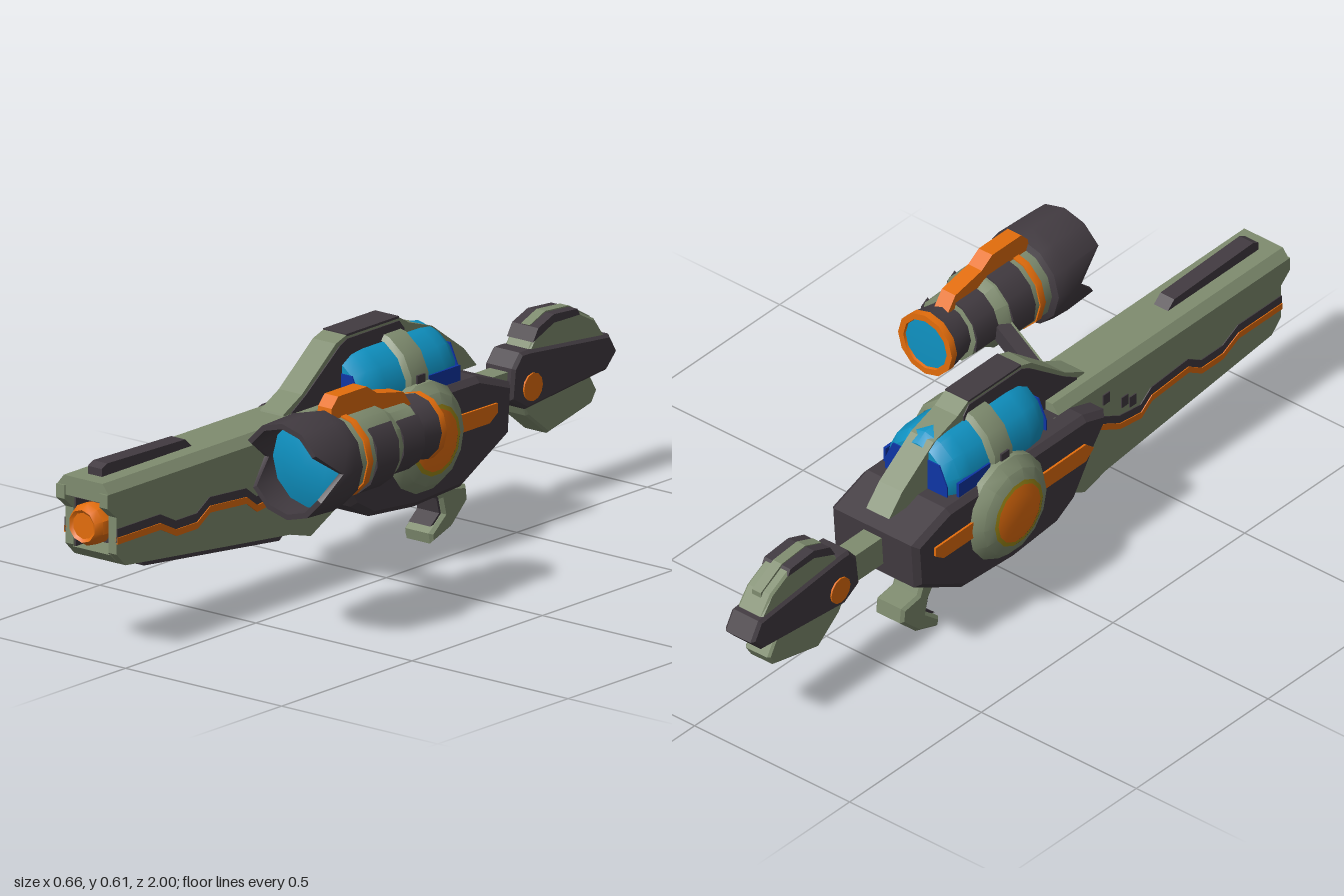
import * as THREE from 'three';
import { toCreasedNormals } from 'three/addons/utils/BufferGeometryUtils.js';

const mat = (name, color) => {
  const m = new THREE.MeshStandardMaterial({ color });
  m.name = name;
  return m;
};
const GREEN = mat('sage green', 0x7f8c6f);
const DARK = mat('charcoal', 0x423b41);
const ORANGE = mat('orange', 0xe36d0c);
const BLUE = mat('cyan blue', 0x0f92c2);
const NAVY = mat('deep blue', 0x0e35a5);
const OLIVE = mat('olive yellow', 0xa08c18);

const CX = -0.14; // centre plane of the main body

export function createModel() {
  const model = new THREE.Group();
  model.name = 'blaster';

  const add = (name, geo, material, x = 0, y = 0, z = 0) => {
    const mesh = new THREE.Mesh(geo, material);
    mesh.name = name;
    mesh.position.set(x, y, z);
    model.add(mesh);
    return mesh;
  };
  const box = (name, m, w, h, d, x, y, z) => add(name, new THREE.BoxGeometry(w, h, d), m, x, y, z);

  // Side profile of [z, y] points given a width along x
  const slab = (name, m, pts, width, x = CX, bevel = 0) => {
    const shape = new THREE.Shape(pts.map(([z, y]) => new THREE.Vector2(z, y)));
    const depth = width - 2 * bevel;
    const geo = new THREE.ExtrudeGeometry(shape, {
      depth, bevelEnabled: bevel > 0, bevelSize: bevel, bevelThickness: bevel, bevelOffset: -bevel, bevelSegments: 1,
    });
    geo.translate(0, 0, -depth / 2).rotateY(-Math.PI / 2);
    return add(name, geo, m, x);
  };

  // Turned profile of [radius, height] points, axis along y
  const turned = (pts, sides) =>
    new THREE.LatheGeometry(pts.map(([r, h]) => new THREE.Vector2(r, h)), sides);
  const turnedZ = (name, m, pts, x, y, sides = 12) =>
    add(name, toCreasedNormals(turned(pts, sides).rotateX(Math.PI / 2), 0.6), m, x, y);

  // Main body
  slab('body', DARK, [[0.24, 0.38], [0.2, 0.33], [0.12, 0.21], [0.05, 0.17], [-0.12, 0.155], [-0.3, 0.165],
    [-0.48, 0.26], [-0.49, 0.39], [-0.36, 0.435], [0.16, 0.435], [0.24, 0.41]], 0.28, CX, 0.015);
  for (const s of [-1, 1]) {
    slab('bodyStripe', ORANGE, [[0.18, 0.335], [0.15, 0.31], [-0.39, 0.31], [-0.42, 0.33], [-0.42, 0.355],
      [0.15, 0.36]], 0.008, CX + s * 0.142);
  }

  // Round hubs on both sides and underneath
  const hub = (name, rotate, x, y, z, k, reach) => {
    const layers = [
      ['Cover', GREEN, [[0.15, 0], [0.15, reach - 0.048], [0.125, reach - 0.02], [0.096, reach - 0.008]]],
      ['Ring', OLIVE, [[0.097, reach - 0.009], [0.084, reach - 0.006]]],
      ['Cap', ORANGE, [[0.085, reach - 0.007], [0.055, reach], [0, reach]]],
    ];
    for (const [part, m, pts] of layers) {
      const geo = turned(pts.map(([r, h]) => [r * k, h]), 14);
      rotate(geo);
      add(name + part, toCreasedNormals(geo, 0.5), m, x, y, z);
    }
  };
  hub('leftHub', (g) => g.rotateZ(-Math.PI / 2), CX, 0.33, -0.145, 0.95, 0.188);
  hub('rightHub', (g) => g.rotateZ(Math.PI / 2), CX, 0.33, -0.145, 0.95, 0.188);
  hub('bottomHub', (g) => g.rotateX(Math.PI), CX, 0.33, -0.145, 0.72, 0.185);

  // Glass canister with dark ends and a band round its middle
  turnedZ('glassCanister', BLUE, [[0, -0.32], [0.095, -0.32], [0.115, -0.29], [0.12, -0.25], [0.12, -0.03],
    [0.115, 0.015], [0.095, 0.05], [0, 0.05]], CX, 0.455, 14);
  for (const [z, turn] of [[0.051, 0], [-0.321, Math.PI]]) {
    const end = new THREE.Shape([[-0.1, -0.02], [0.1, -0.02], [0.1, 0.01], [0.075, 0.065], [-0.075, 0.065],
      [-0.1, 0.01]].map((p) => new THREE.Vector2(...p)));
    add('canisterEnd', new THREE.ExtrudeGeometry(end, { depth: 0.004, bevelEnabled: false }), NAVY, CX, 0.455, z)
      .rotation.y = turn;
  }
  for (const s of [-1, 1]) box('canisterFoot', NAVY, 0.008, 0.04, 0.12, CX + s * 0.118, 0.455, -0.245);
  turnedZ('canisterBand', GREEN, [[0.118, -0.185], [0.132, -0.175], [0.132, -0.11], [0.118, -0.1]], CX, 0.46, 14);
  for (const s of [-1, 1]) box('bandInset', DARK, 0.008, 0.05, 0.03, CX + s * 0.13, 0.465, -0.142);

  // Rail arching over the canister
  slab('topRail', GREEN, [[0.28, 0.44], [0.27, 0.465], [0.2, 0.5], [0.07, 0.6], [0.03, 0.613], [-0.17, 0.613],
    [-0.21, 0.59], [-0.3, 0.56], [-0.42, 0.475], [-0.47, 0.42], [0.2, 0.42]], 0.074);
  slab('railSides', DARK, [[0.24, 0.43], [0.24, 0.465], [0.19, 0.495], [0.06, 0.59], [0.03, 0.604],
    [-0.17, 0.604], [-0.19, 0.58], [-0.19, 0.43]], 0.08);
  box('railTop', DARK, 0.076, 0.006, 0.2, CX, 0.613, -0.07);

  // Barrel: two side walls, roof and underside around an open muzzle
  for (const s of [-1, 1]) {
    slab('barrelWall', GREEN, [[1, 0.435], [1, 0.4], [0.965, 0.37], [0.965, 0.275], [0.93, 0.24], [0.3, 0.172],
      [0.22, 0.15], [0.12, 0.2], [0.1, 0.435]], 0.026, CX + s * 0.069);
  }
  const roof = new THREE.Shape([[-0.082, -0.025], [0.082, -0.025], [0.082, 0], [0.062, 0.025], [-0.062, 0.025],
    [-0.082, 0]].map((p) => new THREE.Vector2(...p)));
  add('barrelRoof', new THREE.ExtrudeGeometry(roof, { depth: 0.875, bevelEnabled: false }), GREEN, CX, 0.435, 0.12);
  slab('barrelFloor', GREEN, [[0.965, 0.27], [0.93, 0.24], [0.3, 0.172], [0.22, 0.15], [0.12, 0.2], [0.12, 0.27]], 0.12);
  slab('barrelKeel', DARK, [[0.86, 0.25], [0.84, 0.215], [0.32, 0.158], [0.28, 0.19]], 0.13);
  box('muzzleBack', DARK, 0.12, 0.16, 0.5, CX, 0.34, 0.64);
  for (const s of [-1, 1]) box('muzzleLining', DARK, 0.006, 0.14, 0.07, CX + s * 0.055, 0.34, 0.925);
  box('muzzleCeiling', DARK, 0.11, 0.006, 0.1, CX, 0.408, 0.935);
  turnedZ('muzzle', ORANGE, [[0.04, 0.88], [0.04, 0.93], [0.054, 0.945], [0.054, 0.98], [0.042, 1], [0.034, 0.994],
    [0, 0.994]], CX, 0.34, 10);
  slab('barrelTopStrip', DARK, [[0.95, 0.455], [0.95, 0.48], [0.93, 0.49], [0.63, 0.482], [0.6, 0.455]], 0.045);

  // Zigzag seam along the barrel: dark band with an orange line in it
  const seam = [[0.965, 0.315], [0.8, 0.315], [0.74, 0.285], [0.66, 0.285], [0.61, 0.315], [0.47, 0.305],
    [0.43, 0.275], [0.35, 0.285], [0.27, 0.325], [0.18, 0.335]];
  const ribbon = (up, down) => [...seam.map(([z, y]) => [z, y + up]), ...seam.map(([z, y]) => [z, y - down]).reverse()];
  for (const s of [-1, 1]) {
    slab('seamBand', DARK, ribbon(0.026, 0.01), 0.005, CX + s * 0.082);
    slab('seamLine', ORANGE, ribbon(0.004, 0.013), 0.008, CX + s * 0.083);
    for (const [z, y] of [[0.37, 0.345], [0.4, 0.33], [0.3, 0.39]]) {
      box('barrelVent', DARK, 0.006, 0.03, 0.025, CX + s * 0.082, y, z);
    }
  }

  // Stock
  box('stockRod', GREEN, 0.058, 0.08, 0.16, CX, 0.33, -0.54);
  slab('stock', DARK, [[-0.6, 0.38], [-0.59, 0.3], [-0.65, 0.265], [-0.96, 0.295], [-1, 0.335], [-0.97, 0.385],
    [-0.66, 0.415], [-0.63, 0.415]], 0.095, CX, 0.008);
  slab('stockUpperFin', GREEN, [[-0.66, 0.4], [-0.7, 0.455], [-0.76, 0.478], [-0.85, 0.472], [-0.92, 0.435],
    [-0.96, 0.38]], 0.08, CX, 0.006);
  slab('stockFinTop', DARK, [[-0.68, 0.43], [-0.7, 0.462], [-0.76, 0.484], [-0.85, 0.477], [-0.86, 0.46],
    [-0.76, 0.462]], 0.084);
  slab('stockFinStripe', GREEN, [[-0.7, 0.464], [-0.76, 0.487], [-0.85, 0.48], [-0.93, 0.435], [-0.93, 0.42],
    [-0.72, 0.45]], 0.028);
  slab('stockLowerFin', GREEN, [[-0.64, 0.28], [-0.66, 0.245], [-0.74, 0.182], [-0.91, 0.22], [-0.93, 0.25],
    [-0.9, 0.3]], 0.08, CX, 0.006);
  const pin = new THREE.CylinderGeometry(0.036, 0.036, 0.104, 12).rotateZ(Math.PI / 2);
  add('stockPin', pin, ORANGE, CX, 0.32, -0.67);

  // Grip
  slab('grip', GREEN, [[-0.25, 0.2], [-0.28, 0.175], [-0.325, 0.11], [-0.335, 0.07], [-0.285, 0.03], [-0.29, 0.003],
    [-0.37, 0.03], [-0.43, 0.085], [-0.425, 0.125], [-0.365, 0.135], [-0.34, 0.2]], 0.09, CX, 0.008);
  slab('gripFront', DARK, [[-0.27, 0.18], [-0.317, 0.112], [-0.328, 0.072], [-0.295, 0.045], [-0.36, 0.06],
    [-0.36, 0.11], [-0.32, 0.18]], 0.07);

  // Scope tube, from the eyepiece forward
  const SX = 0.2, SY = 0.46;
  turnedZ('eyepieceRing', ORANGE, [[0.068, 0.118], [0.07, 0.11], [0.087, 0.11], [0.087, 0.13]], SX, SY);
  turnedZ('eyepieceLens', BLUE, [[0, 0.114], [0.072, 0.117]], SX, SY);
  turnedZ('eyepiece', DARK, [[0.086, 0.129], [0.075, 0.19], [0.075, 0.21]], SX, SY);
  turnedZ('scopeBody', GREEN, [[0.07, 0.195], [0.088, 0.2], [0.09, 0.28], [0.106, 0.31], [0.106, 0.48]], SX, SY);
  turnedZ('scopeRing', ORANGE, [[0.1, 0.42], [0.11, 0.42], [0.11, 0.44], [0.1, 0.44]], SX, SY);
  for (const s of [-1, 1]) {
    // dark cheek panels wrapped round the tube
    for (const [r, z, len] of [[0.093, 0.24, 0.08], [0.11, 0.36, 0.085]]) {
      const panel = new THREE.CylinderGeometry(r, r, len, 4, 1, false, Math.PI / 2 - 1.15, 1.9).rotateX(Math.PI / 2);
      const mesh = add('scopePanel', panel, DARK, SX, SY, z);
      if (s < 0) mesh.rotation.z = Math.PI - 0.4;
    }
  }

  // Flared front shroud with a notch in each side of the rim
  const shroud = turned([[0.1, 0.465], [0.122, 0.475], [0.13, 0.52], [0.126, 0.64], [0.112, 0.64], [0.112, 0.53]], 12)
    .rotateX(Math.PI / 2);
  const p = shroud.attributes.position;
  for (let i = 0; i < p.count; i++) {
    if (p.getZ(i) > 0.6) p.setZ(i, Math.abs(p.getY(i)) < 0.02 ? 0.555 : 0.62 + (p.getY(i) > 0 ? 0.02 : 0));
  }
  add('scopeShroud', toCreasedNormals(shroud, 0.6), DARK, SX, SY);
  turnedZ('scopeLens', BLUE, [[0.114, 0.54], [0.07, 0.555], [0, 0.56]], SX, SY);

  // Orange ridge on top of the scope
  slab('scopeRidge', ORANGE, [[0.48, 0.55], [0.475, 0.59], [0.45, 0.616], [0.34, 0.616], [0.3, 0.59], [0.2, 0.57],
    [0.17, 0.53]], 0.044, SX);

  // Arm joining the scope to the barrel
  const from = new THREE.Vector3(-0.07, 0.37, 0.26), to = new THREE.Vector3(0.13, 0.455, 0.3);
  const arm = new THREE.Group();
  arm.name = 'scopeArm';
  const beam = new THREE.Mesh(new THREE.BoxGeometry(0.042, 0.042, from.distanceTo(to)), DARK);
  beam.name = 'armBeam';
  const plate = new THREE.Mesh(new THREE.BoxGeometry(0.006, 0.03, from.distanceTo(to) - 0.02), GREEN);
  plate.name = 'armPlate';
  plate.position.set(-0.021, 0.006, 0);
  arm.add(beam, plate);
  arm.position.copy(from).lerp(to, 0.5);
  arm.lookAt(to);
  model.add(arm);

  return model;
}
